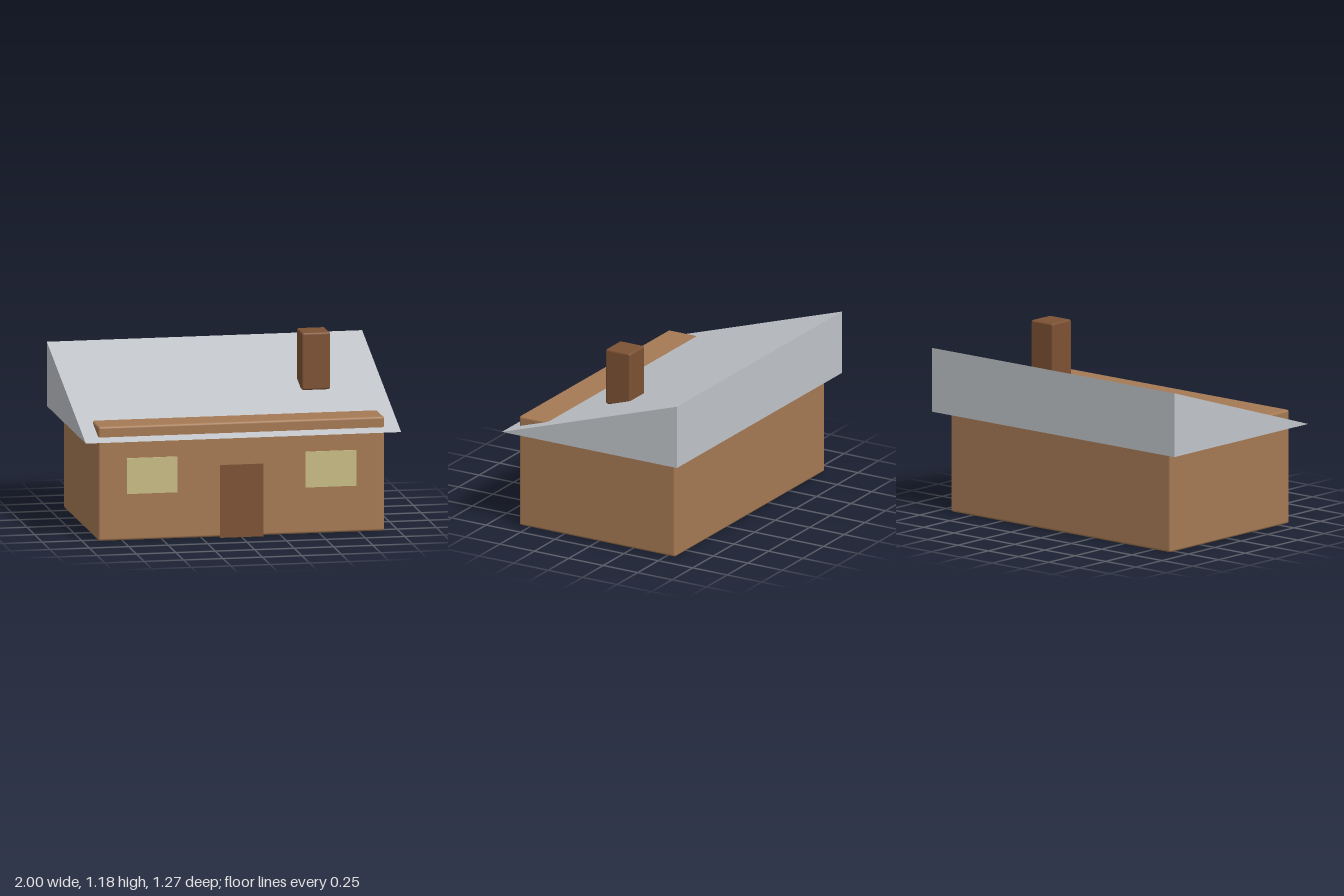
import * as THREE from 'three';
import { RoundedBoxGeometry } from 'three/addons/geometries/RoundedBoxGeometry.js';

const material = (name, color) => {
  const m = new THREE.MeshStandardMaterial({ color });
  m.name = name;
  return m;
};

export function createModel() {
  const house = new THREE.Group();
  house.name = 'house';

  const wallBrown = material('wallBrown', 0xa67a54);
  const darkBrown = material('darkBrown', 0x7d5234);
  const roofGrey = material('roofGrey', 0xc1c5ca);
  const windowYellow = material('windowYellow', 0xc9bc85);

  const add = (name, geometry, mat, x, y, z) => {
    const mesh = new THREE.Mesh(geometry, mat);
    mesh.name = name;
    mesh.position.set(x, y, z);
    house.add(mesh);
  };

  // Walls: softly rounded block whose front top edge rises through the roof
  add('walls', new RoundedBoxGeometry(1.814, 0.725, 1.134, 3, 0.015), wallBrown, 0, 0.367, 0);

  // Single-slope roof: a wedge profile extruded across the house
  const wedge = new THREE.Shape([
    new THREE.Vector2(-0.635, 0.64),
    new THREE.Vector2(0.635, 0.64),
    new THREE.Vector2(0.635, 1.047),
  ]);
  const roof = new THREE.ExtrudeGeometry(wedge, { depth: 2, bevelEnabled: false });
  roof.translate(0, 0, -1).rotateY(Math.PI / 2);
  add('roof', roof, roofGrey, 0, 0, 0);

  // Chimney
  add('chimney', new RoundedBoxGeometry(0.18, 0.364, 0.18, 3, 0.013), darkBrown, 0.567, 1.002, 0);

  // Door and windows: thin plates on the front wall
  const plate = 0.0098;
  const plateZ = 0.567 + plate / 2;
  add('door', new THREE.BoxGeometry(0.274, 0.46, plate), darkBrown, 0, 0.23, plateZ);
  for (const [name, side] of [['leftWindow', 1], ['rightWindow', -1]]) {
    add(name, new THREE.BoxGeometry(0.322, 0.226, plate), windowYellow, side * 0.567, 0.412, plateZ);
  }

  return house;
}
